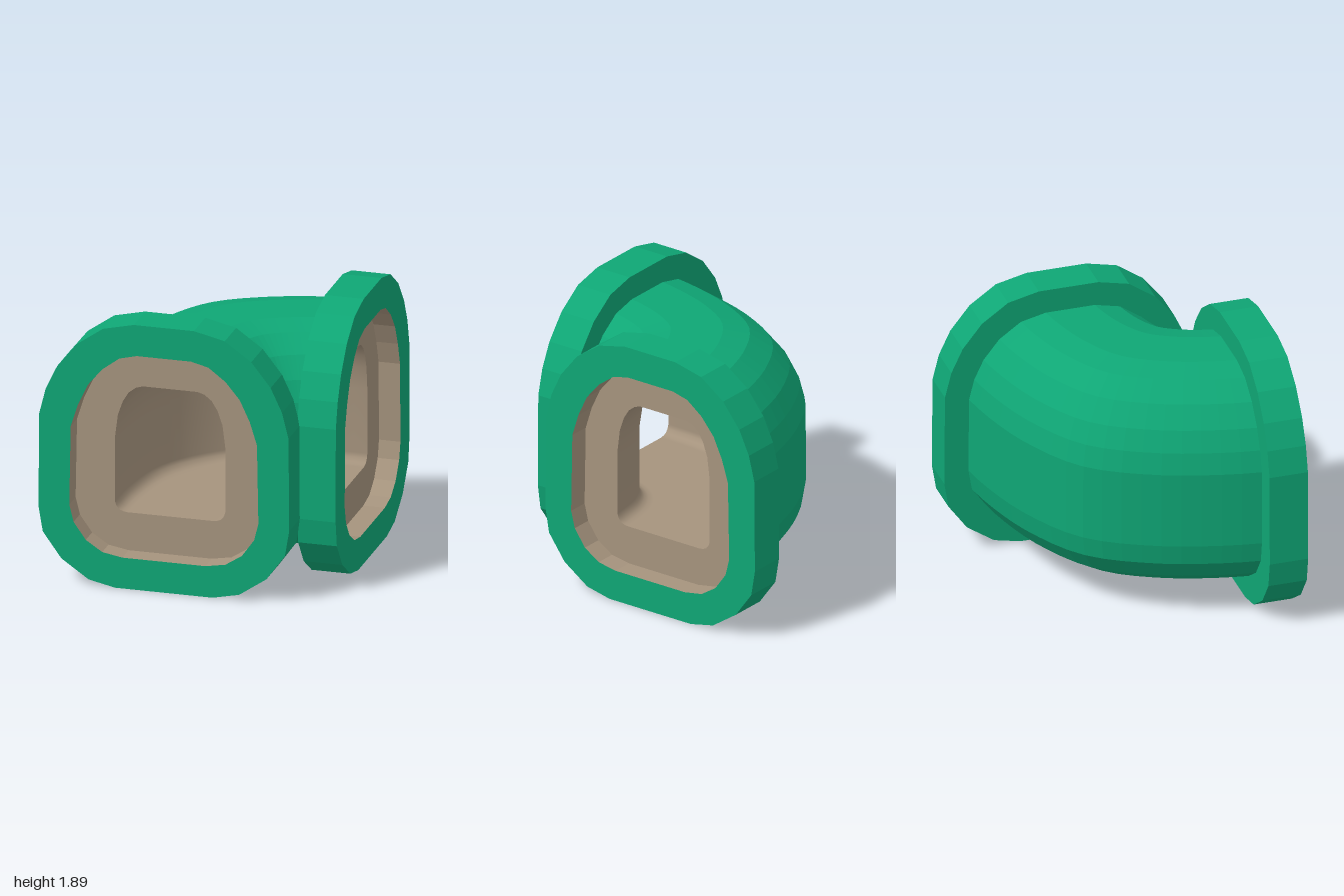
import * as THREE from 'three';

// Half outlines [u, y], from the top round to the bottom
const RIM = [[0.21, 1.89], [0.425, 1.84], [0.61, 1.71], [0.745, 1.54], [0.825, 1.37], [0.87, 1.19],
  [0.875, 0.53], [0.845, 0.35], [0.715, 0.17], [0.525, 0.04], [0.34, 0]];
const RECESS = [[0.19, 1.67], [0.31, 1.64], [0.43, 1.55], [0.53, 1.43], [0.6, 1.28], [0.65, 1.12],
  [0.66, 1.0], [0.66, 0.56], [0.63, 0.44], [0.545, 0.32], [0.29, 0.22]];
RECESS.splice(6, 1); // the straight side needs no middle point
RECESS.splice(9, 0, [0.43, 0.245]);
const DUCT = [[0.19, 1.4], [0.24, 1.385], [0.29, 1.345], [0.33, 1.28], [0.365, 1.18], [0.385, 1.02],
  [0.385, 0.56], [0.375, 0.53], [0.355, 0.505], [0.33, 0.495], [0.3, 0.49]];
const PIPE = RIM.map(([u, y]) => [u * 0.806, 0.17 + y * 0.82]);

const OFFSET = -0.125; // sideways centre of each opening

// Full closed outline from a half one
const whole = (half) => [...half, ...half.slice().reverse().map(([u, y]) => [-u, y])];

// Flat ring of an outline at a given depth
const ringAt = (half, z) => whole(half).map(([u, y]) => [u, y, z]);

// Skin joining successive closed rings
function loft(rings, smooth) {
  const n = rings[0].length;
  const index = [];
  for (let i = 0; i < rings.length - 1; i++) {
    for (let j = 0; j < n; j++) {
      const k = (j + 1) % n;
      const a = i * n + j, b = i * n + k, c = a + n, d = b + n;
      index.push(a, c, b, b, c, d);
    }
  }
  let geo = new THREE.BufferGeometry();
  geo.setAttribute('position', new THREE.Float32BufferAttribute(rings.flat(2), 3));
  geo.setIndex(index);
  if (!smooth) geo = geo.toNonIndexed();
  geo.computeVertexNormals();
  return geo;
}

// Plan curve mirrored about the bend's diagonal; the last point lies on the diagonal
function bendCurve(points) {
  const mirrored = points.slice(0, -1).reverse().map(([x, z]) => [z, x]);
  return new THREE.CatmullRomCurve3([...points, ...mirrored].map(([x, z]) => new THREE.Vector3(x, 0, z)));
}

// Rings round the bend, stretched between an outer and an inner plan curve
function bendRings(half, outer, inner, steps) {
  const outline = whole(half);
  const width = Math.max(...half.map((p) => p[0]));
  const rings = [];
  for (let i = 0; i <= steps; i++) {
    const o = outer.getPointAt(i / steps), n = inner.getPointAt(i / steps);
    rings.push(outline.map(([u, y]) => {
      const p = o.clone().lerp(n, (u / width + 1) / 2);
      return [p.x, y, p.z];
    }));
  }
  return rings;
}

export function createModel() {
  const green = new THREE.MeshStandardMaterial({ color: 0x0fa675 });
  green.name = 'green';
  const tan = new THREE.MeshStandardMaterial({ color: 0xa5937d });
  tan.name = 'tan';

  const model = new THREE.Group();
  model.name = 'pipeElbow';
  const add = (parent, name, geo, mat) => {
    const mesh = new THREE.Mesh(geo, mat);
    mesh.name = name;
    parent.add(mesh);
  };

  // Outer shell of the bend
  const shell = bendRings(PIPE,
    bendCurve([[-0.83, 0.73], [-0.79, 0.5], [-0.65, 0.05], [-0.385, -0.385]]),
    bendCurve([[0.605, 0.73], [0.655, 0.655]]), 18);
  add(model, 'outerPipe', loft(shell.reverse(), false), green);

  // Hollow duct running through the bend
  const duct = bendRings(DUCT,
    bendCurve([[-0.51, 0.85], [-0.5, 0.55], [-0.41, 0.1], [-0.2, -0.2]]),
    bendCurve([[0.26, 0.85], [0.31, 0.58], [0.41, 0.41]]), 24);
  add(model, 'innerDuct', loft(duct, true), tan);

  // Matching flange and recessed mouth at each end
  const flange = loft([ringAt(PIPE.map(([u, y]) => [u * 0.9, 0.945 + (y - 0.945) * 0.9]), 0.73),
    ringAt(RIM, 0.73), ringAt(RIM, 1), ringAt(RECESS, 1)], false);
  const mouth = loft([ringAt(RECESS, 1), ringAt(RECESS, 0.85), ringAt(DUCT, 0.85)], false);
  for (const side of ['front', 'left']) {
    const end = new THREE.Group();
    end.name = side + 'End';
    add(end, side + 'Flange', flange, green);
    add(end, side + 'Mouth', mouth, tan);
    if (side === 'front') {
      end.position.x = OFFSET;
    } else {
      end.rotation.y = Math.PI / 2;
      end.position.z = OFFSET;
    }
    model.add(end);
  }
  return model;
}
